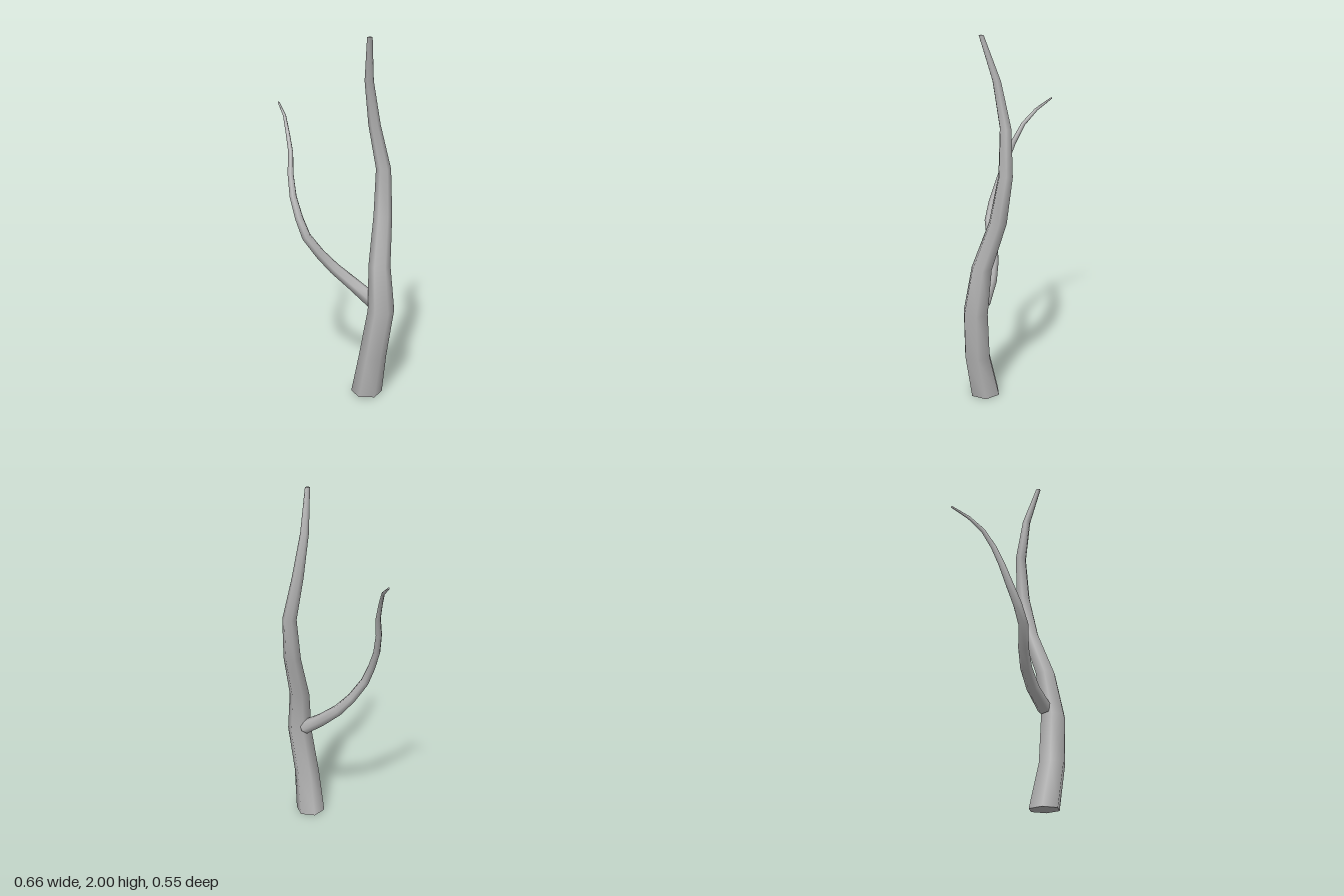
import * as THREE from 'three';

const SIDES = 6;

// Six-sided tapering limb through [x, y, z, radius] stations, smooth sides and flat end caps.
// A level limb keeps every ring horizontal; otherwise rings follow the path.
function limb(name, stations, ref, level, material) {
  const pts = stations.map(([x, y, z]) => new THREE.Vector3(x, y, z));
  const pos = [], index = [], n = pts.length;

  pts.forEach((p, i) => {
    const t = level
      ? new THREE.Vector3(0, 1, 0)
      : pts[Math.min(i + 1, n - 1)].clone().sub(pts[Math.max(i - 1, 0)]).normalize();
    const u = ref.clone().addScaledVector(t, -ref.dot(t)).normalize();
    const v = t.clone().cross(u);
    for (let j = 0; j < SIDES; j++) {
      const a = (j / SIDES) * Math.PI * 2, r = stations[i][3];
      const q = p.clone().addScaledVector(u, r * Math.cos(a)).addScaledVector(v, r * Math.sin(a));
      pos.push(q.x, q.y, q.z);
    }
  });

  for (let i = 0; i < n - 1; i++) {
    for (let j = 0; j < SIDES; j++) {
      const k = (j + 1) % SIDES;
      const a = i * SIDES + j, b = i * SIDES + k;
      index.push(a, b, a + SIDES, b, b + SIDES, a + SIDES);
    }
  }

  // Caps use their own copies of the end rings so the rims stay sharp
  for (const [row, flip] of [[0, true], [n - 1, false]]) {
    const base = pos.length / 3;
    pos.push(...pos.slice(row * SIDES * 3, (row + 1) * SIDES * 3));
    for (let j = 1; j < SIDES - 1; j++) {
      if (flip) index.push(base, base + j + 1, base + j);
      else index.push(base, base + j, base + j + 1);
    }
  }

  const geo = new THREE.BufferGeometry();
  geo.setAttribute('position', new THREE.Float32BufferAttribute(pos, 3));
  geo.setIndex(index);
  geo.computeVertexNormals();
  const mesh = new THREE.Mesh(geo, material);
  mesh.name = name;
  return mesh;
}

export function createModel() {
  const group = new THREE.Group();
  group.name = 'bareTree';
  const bark = new THREE.MeshStandardMaterial({ color: 0xb4b4b4 });
  bark.name = 'greyBark';

  // Main trunk, leaning and tapering to a blunt tip
  group.add(limb('trunk', [
    [0.185, 0, 0.157, 0.088],
    [0.215, 0.25, 0.2, 0.077],
    [0.257, 0.53, 0.208, 0.073],
    [0.246, 0.78, 0.172, 0.06],
    [0.264, 1.04, 0.085, 0.051],
    [0.265, 1.29, 0.044, 0.041],
    [0.213, 1.53, 0.039, 0.033],
    [0.18, 1.77, 0.081, 0.024],
    [0.178, 2, 0.158, 0.014],
  ], new THREE.Vector3(1, 0, 0), true, bark));

  // Side branch, sweeping out to the right and then up and back
  group.add(limb('branch', [
    [0.215, 0.565, 0.168, 0.043],
    [0.1, 0.65, 0.117, 0.037],
    [0, 0.73, 0.095, 0.033],
    [-0.08, 0.815, 0.093, 0.029],
    [-0.155, 0.92, 0.104, 0.027],
    [-0.195, 1.02, 0.08, 0.024],
    [-0.228, 1.13, 0.041, 0.021],
    [-0.243, 1.25, 0, 0.018],
    [-0.243, 1.36, -0.045, 0.015],
    [-0.262, 1.46, -0.102, 0.012],
    [-0.283, 1.54, -0.18, 0.009],
    [-0.322, 1.598, -0.273, 0.005],
  ], new THREE.Vector3(0, 0, 1), false, bark));

  return group;
}
